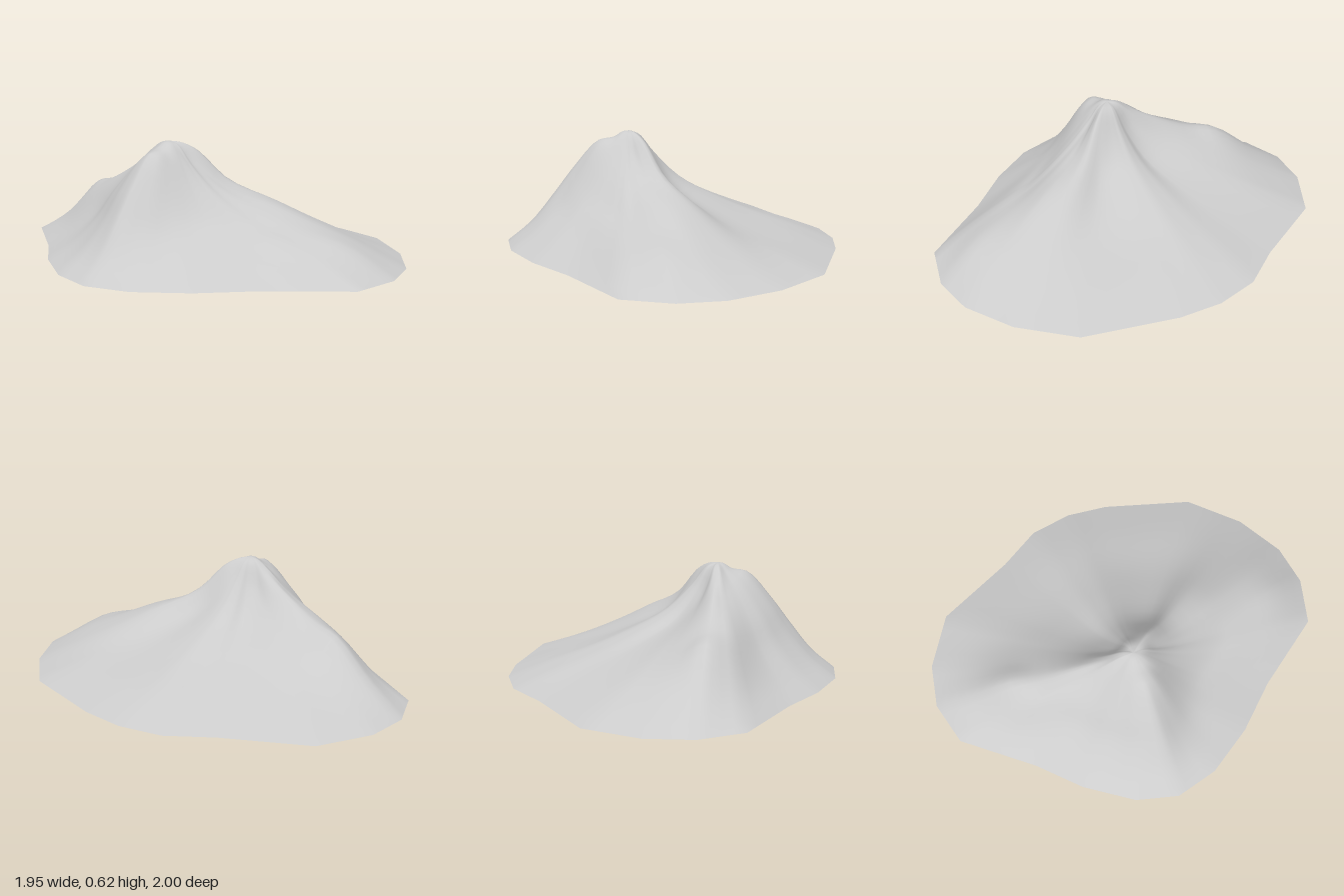
import * as THREE from 'three';

const SUMMIT = new THREE.Vector3(-0.27, 0.625, 0.19);
// Fractions of the way from summit to foot where each spur's height is given
const STEPS = [0.12, 0.25, 0.45, 0.6, 0.8];
// Each spur: foot x, foot z, then heights at STEPS (north, west, south, east)
const SPURS = [
  [-0.34, -1.0, 0.475, 0.355, 0.25, 0.175, 0.085],
  [-0.65, -0.93, 0.535, 0.42, 0.31, 0.235, 0.105],
  [-0.85, -0.79, 0.555, 0.47, 0.36, 0.318, 0.145],
  [-0.975, -0.57, 0.57, 0.465, 0.355, 0.265, 0.105],
  [-0.925, -0.11, 0.575, 0.495, 0.345, 0.21, 0.09],
  [-0.925, 0.18, 0.585, 0.52, 0.365, 0.22, 0.09],
  [-0.87, 0.48, 0.59, 0.55, 0.395, 0.245, 0.10],
  [-0.75, 0.69, 0.59, 0.57, 0.42, 0.285, 0.115],
  [-0.54, 0.82, 0.59, 0.55, 0.355, 0.21, 0.09],
  [-0.25, 0.89, 0.585, 0.49, 0.29, 0.185, 0.09],
  [0.06, 0.91, 0.565, 0.44, 0.265, 0.19, 0.09],
  [0.52, 0.995, 0.52, 0.385, 0.24, 0.185, 0.105],
  [0.75, 0.86, 0.51, 0.385, 0.275, 0.212, 0.145],
  [0.89, 0.67, 0.54, 0.395, 0.31, 0.235, 0.13],
  [0.97, 0.38, 0.575, 0.42, 0.305, 0.215, 0.105],
  [0.965, 0.03, 0.54, 0.345, 0.22, 0.15, 0.08],
  [0.72, -0.43, 0.51, 0.355, 0.23, 0.155, 0.082],
  [0.57, -0.62, 0.505, 0.36, 0.24, 0.168, 0.088],
  [0.37, -0.765, 0.49, 0.345, 0.23, 0.16, 0.085],
  [0.11, -0.83, 0.475, 0.325, 0.22, 0.155, 0.08],
];
const SPLIT = 4; // rays per spur
const RINGS = 24; // rings from summit to foot

const spur = (i) => SPURS[(i + SPURS.length) % SPURS.length];

// Smooth interpolation of four neighbouring values
function blend(a, b, c, d, t) {
  const m0 = (c - a) / 2, m1 = (d - b) / 2;
  return (2 * b - 2 * c + m0 + m1) * t ** 3 + (3 * c - 3 * b - 2 * m0 - m1) * t * t + m0 * t + b;
}

// Slope line from the summit to the foot between spurs i and i + 1
function slopeLine(i, f) {
  const x = THREE.MathUtils.lerp(spur(i)[0], spur(i + 1)[0], f);
  const z = THREE.MathUtils.lerp(spur(i)[1], spur(i + 1)[1], f);
  const at = (t, y) => new THREE.Vector3(
    THREE.MathUtils.lerp(SUMMIT.x, x, t), y, THREE.MathUtils.lerp(SUMMIT.z, z, t));
  const points = STEPS.map((t, k) => at(t,
    blend(spur(i - 1)[k + 2], spur(i)[k + 2], spur(i + 1)[k + 2], spur(i + 2)[k + 2], f)));
  // A nearly level point beside the summit rounds the top
  const cap = at(0.05, THREE.MathUtils.lerp(SUMMIT.y, points[0].y, 0.16));
  return new THREE.CatmullRomCurve3([SUMMIT, cap, ...points, at(1, 0)]);
}

function mountainGeometry() {
  const positions = [...SUMMIT.toArray()];
  const index = [];
  const rays = SPURS.length * SPLIT;
  for (let r = 0; r < rays; r++) {
    const line = slopeLine(Math.floor(r / SPLIT), (r % SPLIT) / SPLIT);
    for (let j = 1; j <= RINGS; j++) positions.push(...line.getPoint(j / RINGS).toArray());
  }
  const id = (r, j) => (j === 0 ? 0 : 1 + (r % rays) * RINGS + j - 1);
  for (let r = 0; r < rays; r++) {
    for (let j = 0; j < RINGS; j++) {
      index.push(id(r, j), id(r, j + 1), id(r + 1, j + 1));
      if (j > 0) index.push(id(r, j), id(r + 1, j + 1), id(r + 1, j));
    }
  }
  const geometry = new THREE.BufferGeometry();
  geometry.setAttribute('position', new THREE.Float32BufferAttribute(positions, 3));
  geometry.setIndex(index);
  geometry.computeVertexNormals();
  return geometry;
}

export function createModel() {
  const group = new THREE.Group();
  group.name = 'mountain';
  // Open shell, hollow underneath
  const slopes = new THREE.Mesh(
    mountainGeometry(),
    new THREE.MeshStandardMaterial({ color: 0xcccccc, side: THREE.DoubleSide }));
  slopes.name = 'mountainSlopes';
  group.add(slopes);
  return group;
}
